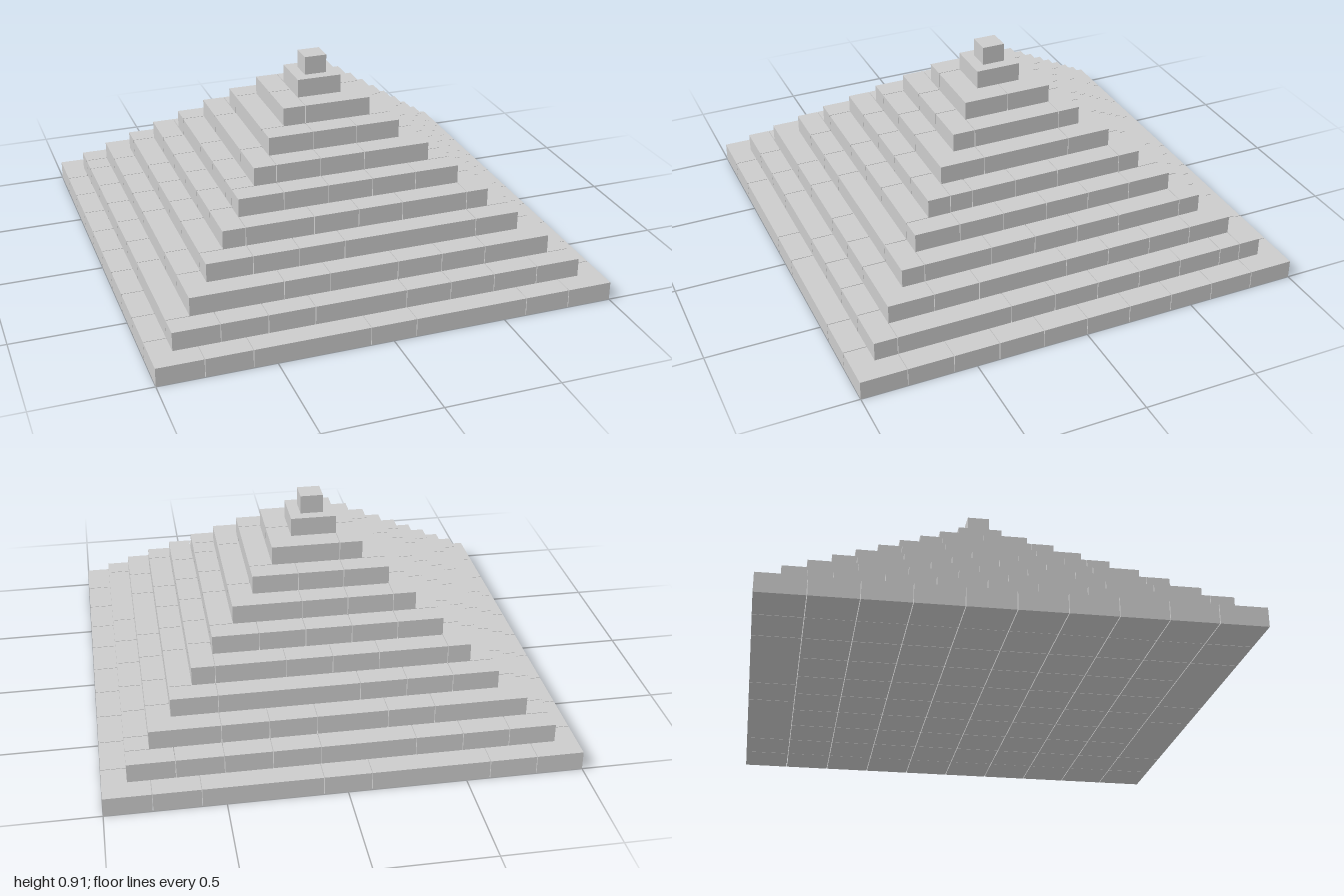
import * as THREE from 'three';

const COURSE = 0.0825; // height of one course
const GAP = 0.003;     // open joint between neighbouring blocks

// Each course: half width, joints along front/back rows, joints along side rows.
const COURSES = [
  { half: 1.0, front: [-0.8, -0.6, -0.1, 0.1, 0.6, 0.8], side: [-0.6, -0.4, -0.2, 0, 0.2, 0.4, 0.6] },
  { half: 0.9, front: [-0.7, -0.5, -0.3, 0.1, 0.3, 0.5, 0.7], side: [-0.7, -0.5, -0.3, -0.1, 0.1, 0.3] },
  { half: 0.8, front: [-0.4, -0.2, 0.1, 0.3, 0.5], side: [-0.4, -0.2, 0, 0.4] },
  { half: 0.7, front: [-0.5, -0.3, -0.1, 0.5], side: [-0.3, -0.1, 0.1, 0.3] },
  { half: 0.6, front: [-0.5, -0.2, 0, 0.2, 0.5], side: [-0.2, 0, 0.2] },
  { half: 0.5, front: [-0.3, -0.1, 0.1, 0.3], side: [-0.1, 0.1, 0.3] },
  { half: 0.4, front: [-0.3, -0.1, 0.1], side: [] },
  { half: 0.3, front: [-0.1, 0.1], side: [] },
  { half: 0.2, front: [-0.1], side: [] },
  { half: 0.1, front: [], side: [] },
  { half: 0.05, front: [], side: [] },
];

export function createModel() {
  const model = new THREE.Group();
  model.name = 'steppedPyramid';
  const material = new THREE.MeshStandardMaterial({ color: 0xcccccc, flatShading: true });

  // Block filling a rectangle on the plan
  function block(parent, name, x0, x1, z0, z1) {
    const mesh = new THREE.Mesh(new THREE.BoxGeometry(x1 - x0, COURSE, z1 - z0), material);
    mesh.position.set((x0 + x1) / 2, COURSE / 2, (z0 + z1) / 2);
    mesh.name = name;
    parent.add(mesh);
  }

  // Runs of blocks between joints, leaving a thin gap at every inner joint
  function spans(from, to, joints) {
    const ends = [from, ...joints, to];
    return ends.slice(1).map((end, i) => [
      ends[i] + (i > 0 ? GAP / 2 : 0),
      end - (i < ends.length - 2 ? GAP / 2 : 0),
    ]);
  }

  COURSES.forEach(({ half, front, side }, level) => {
    const course = new THREE.Group();
    course.name = `course${level + 1}`;
    course.position.set(level ? -0.005 : 0, level * COURSE, 0);
    model.add(course);

    // The top two courses are single blocks
    if (half <= 0.1) {
      block(course, level === COURSES.length - 1 ? 'capstone' : 'topSlab', -half, half, -half, half);
      return;
    }

    // Rows alternate between two thicknesses so that the corners interlock
    const depth = level % 2 ? 0.1 : 0.2;
    const inner = half - depth;
    for (const [x0, x1] of spans(-half, half, front)) {
      block(course, 'frontBlock', x0, x1, inner + GAP / 2, half);
      block(course, 'backBlock', x0, x1, -half, -inner - GAP / 2);
    }
    if (inner < 0.05) return;

    for (const [z0, z1] of spans(-inner, inner, side)) {
      const a = z0 + (z0 === -inner ? GAP / 2 : 0);
      const b = z1 - (z1 === inner ? GAP / 2 : 0);
      block(course, 'leftBlock', inner, half, a, b);
      block(course, 'rightBlock', -half, -inner, a, b);
    }

    // Infill: paving blocks in the base, a solid core higher up
    if (level === 0) {
      const joints = [-0.6, -0.4, -0.2, 0, 0.2, 0.4, 0.6];
      const cells = spans(-inner + GAP / 2, inner - GAP / 2, joints);
      for (const [x0, x1] of cells)
        for (const [z0, z1] of cells) block(course, 'baseBlock', x0, x1, z0, z1);
    } else {
      block(course, 'core', -inner, inner, -inner, inner);
    }
  });

  return model;
}
